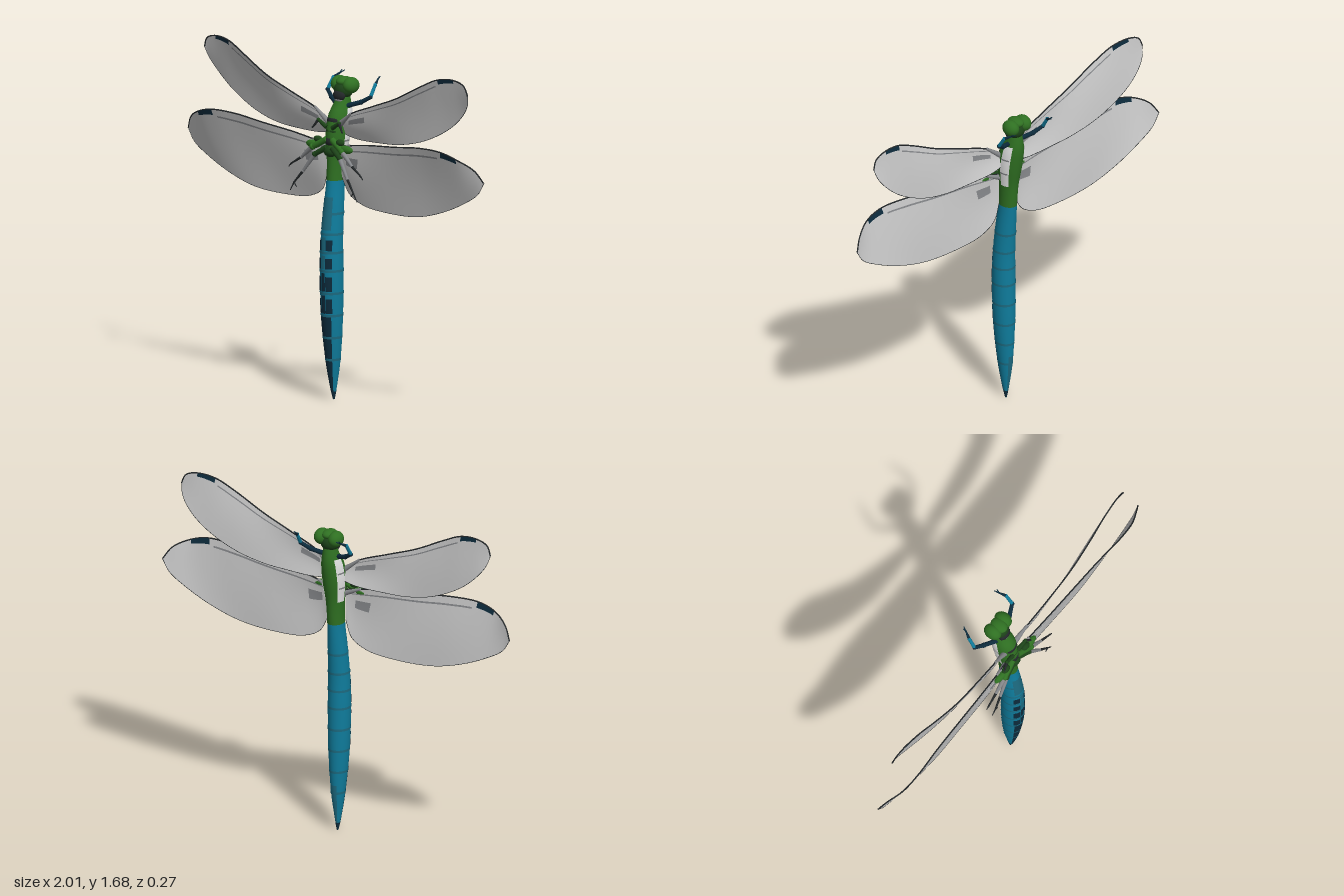
import * as THREE from 'three';
import { mergeVertices } from 'three/addons/utils/BufferGeometryUtils.js';

const material = (name, color, side = THREE.FrontSide) => {
  const m = new THREE.MeshStandardMaterial({ color, side });
  m.name = name;
  return m;
};
const V = (p) => new THREE.Vector3(...p);

// Grid of points turned into a smooth surface; at(u, v) gives [x, y, z]
function surface(nu, nv, at) {
  const pos = [], idx = [];
  for (let j = 0; j <= nv; j++) for (let i = 0; i <= nu; i++) pos.push(...at(i / nu, j / nv));
  for (let j = 0; j < nv; j++) for (let i = 0; i < nu; i++) {
    const a = j * (nu + 1) + i, b = a + nu + 1;
    idx.push(a, a + 1, b, a + 1, b + 1, b);
  }
  let g = new THREE.BufferGeometry();
  g.setAttribute('position', new THREE.Float32BufferAttribute(pos, 3));
  g.setIndex(idx);
  g = mergeVertices(g, 1e-5);
  g.computeVertexNormals();
  return g;
}

// Body sections: height, centre depth, half width, half depth
const BODY = [
  [0, 0.055, 0.003, 0.004], [0.06, 0.057, 0.014, 0.017], [0.2, 0.06, 0.033, 0.04],
  [0.42, 0.067, 0.05, 0.056], [0.64, 0.07, 0.055, 0.059], [0.8, 0.068, 0.052, 0.056],
  [0.95, 0.055, 0.046, 0.053], [1.08, 0.042, 0.04, 0.05], [1.2, 0.035, 0.044, 0.053],
  [1.3, 0.027, 0.055, 0.064], [1.4, 0.01, 0.052, 0.062], [1.45, -0.005, 0.04, 0.045],
  [1.5, -0.01, 0.03, 0.032]];

function section(y) {
  let k = 0;
  while (k < BODY.length - 2 && BODY[k + 1][0] < y) k++;
  const a = BODY[k], b = BODY[k + 1], t = (y - a[0]) / (b[0] - a[0]);
  const p = BODY[Math.max(k - 1, 0)], q = BODY[Math.min(k + 2, BODY.length - 1)];
  return [1, 2, 3].map((c) => {
    const h = b[0] - a[0];
    const m0 = (b[c] - p[c]) / (b[0] - p[0]) * h, m1 = (q[c] - a[c]) / (q[0] - a[0]) * h;
    const t2 = t * t, t3 = t2 * t;
    return (2 * t3 - 3 * t2 + 1) * a[c] + (t3 - 2 * t2 + t) * m0 + (3 * t2 - 2 * t3) * b[c] + (t3 - t2) * m1;
  });
}

// Piece of the body skin between two heights and two angles (0 is the belly, +z)
function skin(y0, y1, a0 = -Math.PI, a1 = Math.PI, raise = 0) {
  const nu = Math.max(4, Math.round((a1 - a0) * 5)), nv = Math.max(2, Math.round((y1 - y0) * 40));
  return surface(nu, nv, (u, v) => {
    const y = y0 + (y1 - y0) * v, a = a0 + (a1 - a0) * u;
    const [zc, rx, rz] = section(y);
    return [(rx + raise) * Math.sin(a), y, zc + (rz + raise) * Math.cos(a)];
  });
}

// Wing edges from root to tip, for the +x side
const FORE = {
  lead: [[.04, 1.37, .05], [.12, 1.42, .06], [.28, 1.48, .07], [.44, 1.54, .075], [.6, 1.62, .07],
    [.71, 1.668, .06], [.81, 1.676, .05], [.87, 1.655, .045], [.89, 1.61, .04]],
  trail: [[.04, 1.31, .03], [.12, 1.295, .03], [.28, 1.295, .03], [.42, 1.305, .025], [.58, 1.345, .015],
    [.74, 1.425, .008], [.83, 1.5, .012], [.875, 1.56, .025], [.89, 1.61, .04]] };
const HIND = {
  lead: [[.04, 1.25, .06], [.12, 1.265, .07], [.25, 1.285, .08], [.45, 1.305, .09], [.62, 1.325, .1],
    [.78, 1.326, .11], [.88, 1.3, .1], [.96, 1.255, .065], [1, 1.195, .04]],
  trail: [[.05, 1.1, .05], [.09, 1.02, .04], [.18, .975, .035], [.34, .96, .035], [.55, .97, .04],
    [.72, 1.015, .04], [.86, 1.075, .04], [.96, 1.135, .04], [1, 1.195, .04]] };

// Patch of a wing sheet, u along the span and v from leading to trailing edge
function sheet(wing, s, u0, u1, v0, v1, dz = 0) {
  const lead = new THREE.CatmullRomCurve3(wing.lead.map(V));
  const trail = new THREE.CatmullRomCurve3(wing.trail.map(V));
  return surface(48, v1 - v0 > 0.5 ? 10 : 3, (i, j) => {
    const u = u0 + (u1 - u0) * (s > 0 ? i : 1 - i), v = v1 + (v0 - v1) * j;
    const p = lead.getPoint(u).lerp(trail.getPoint(u), v);
    const billow = 0.012 * Math.sin(Math.PI * v) * (1 - u) * Math.sin(u * 9);
    return [s * p.x, p.y, p.z + billow + dz];
  });
}

export function createModel() {
  const model = new THREE.Group();
  const green = material('leaf green', 0x2f7022);
  const darkGreen = material('dark green', 0x1d4419);
  const teal = material('teal blue', 0x0f7c9c);
  const slate = material('slate teal', 0x1c6a80, THREE.DoubleSide);
  const navy = material('dark navy', 0x0d2b3c, THREE.DoubleSide);
  const white = material('white', 0xe6e6e6, THREE.DoubleSide);
  const pale = material('wing grey', 0xc6c6c6, THREE.DoubleSide);
  const grey = material('mid grey', 0x85878a, THREE.DoubleSide);
  const black = material('charcoal', 0x24282a);

  const add = (name, geo, mat, parent = model) => {
    const m = new THREE.Mesh(geo, mat);
    m.name = name;
    parent.add(m);
    return m;
  };
  const ball = (name, mat, p, r, parent) => {
    const m = add(name, new THREE.SphereGeometry(1, 24, 16), mat, parent);
    m.position.set(...p);
    m.scale.set(...r);
    return m;
  };
  // Jointed limb: tapered rods with a ball at each joint
  const limb = (name, pts, radii, mats, parent) => {
    const g = new THREE.Group();
    g.name = name;
    parent.add(g);
    for (let k = 0; k < pts.length - 1; k++) {
      const a = V(pts[k]), b = V(pts[k + 1]), d = b.clone().sub(a);
      const rod = add(name + 'Segment', new THREE.CylinderGeometry(radii[k + 1], radii[k], d.length(), 10), mats[k], g);
      rod.position.copy(a).lerp(b, 0.5);
      rod.quaternion.setFromUnitVectors(new THREE.Vector3(0, 1, 0), d.normalize());
      ball(name + 'Joint', mats[k], pts[k + 1], Array(3).fill(radii[k + 1] * 1.15), g);
    }
  };

  // Abdomen, thorax and their bands
  add('abdomen', skin(0, 1.08), teal);
  add('thorax', skin(1.08, 1.5), green);
  [0.2, 0.31, 0.42, 0.53, 0.64, 0.73, 0.82, 0.92].forEach((y) =>
    add('abdomenRing', skin(y - 0.006, y + 0.006, -Math.PI, Math.PI, 0.002), slate));
  add('tailTip', skin(0.001, 0.04, -Math.PI, Math.PI, 0.001), navy);
  add('tailBackPatch', skin(0.04, 0.24, 2.7, 3.6, 0.0012), slate);
  add('bellyPale', skin(0.84, 1.0, -0.7, 0.7, 0.0012), slate);
  add('bellyDark', skin(0.03, 0.42, -0.75, 0.75, 0.0015), navy);
  [0.43, 0.54, 0.65, 0.74].forEach((y, k) => {
    const h = k < 2 ? 0.09 : 0.065;
    add('bellyStripe', skin(y, y + h, -0.2, 0.2, 0.0015), k < 2 ? navy : slate);
    for (const s of [-1, 1]) {
      add('bellySpot', skin(y, y + h * 0.8, s * 0.55 - 0.3, s * 0.55 + 0.3, 0.0018), navy);
    }
  });

  // Underside of the thorax
  [1.22, 1.27, 1.32, 1.37].forEach((y, k) => {
    ball('breastPlate', k % 2 ? black : darkGreen, [0, y, 0.08 - k * 0.008], [0.038, 0.026, 0.025]);
  });

  // Head with eyes and face
  ball('headCore', darkGreen, [0, 1.515, -0.012], [0.05, 0.045, 0.045]);
  ball('brow', green, [0, 1.555, -0.015], [0.035, 0.024, 0.045]);
  ball('face', black, [0, 1.49, 0.018], [0.036, 0.03, 0.022]);
  ball('jaw', grey, [0, 1.468, 0.018], [0.026, 0.016, 0.018]);

  for (const s of [-1, 1]) {
    const side = new THREE.Group();
    side.name = s > 0 ? 'leftSide' : 'rightSide';
    model.add(side);
    const mir = (pts) => pts.map(([x, y, z]) => [s * x, y, z]);

    ball('eye', green, [s * 0.04, 1.538, -0.022], [0.036, 0.04, 0.046], side);

    // White and grey flank panels
    add('flankPanel', skin(1.2, 1.43, s * 1.85 - 0.4, s * 1.85 + 0.4, 0.002), white, side);
    [1.27, 1.35].forEach((y) => add('flankSeam', skin(y, y + 0.008, s * 1.8 - 0.35, s * 1.8 + 0.35, 0.003), grey, side));

    // Wings with dark edge, vein and tip mark
    for (const [name, wing] of [['foreWing', FORE], ['hindWing', HIND]]) {
      add(name, sheet(wing, s, 0, 1, 0, 1), pale, side);
      const edge = (pts) => new THREE.CatmullRomCurve3(mir(pts).map(V));
      add(name + 'LeadingEdge', new THREE.TubeGeometry(edge(wing.lead), 60, 0.0035, 6), black, side);
      add(name + 'TrailingEdge', new THREE.TubeGeometry(edge(wing.trail), 60, 0.0014, 5), black, side);
      for (const dz of [-0.003, 0.003]) {
        add(name + 'TipMark', sheet(wing, s, 0.62, 0.74, 0, 0.09, dz), navy, side);
        add(name + 'Vein', sheet(wing, s, 0.05, 0.6, 0.1, 0.125, dz * 0.6), grey, side);
        add(name + 'RootPatch', sheet(wing, s, 0.1, 0.2, 0.25, 0.42, dz * 0.6), grey, side);
      }
      const root = wing.lead[0];
      limb(name + 'Root', mir([[0.03, root[1] - 0.02, root[2]], wing.lead[1]]), [0.016, 0.006], [grey], side);
    }

    // Raised front legs beside the head
    limb('frontLeg', mir([[.035, 1.44, 0], [.1, 1.462, -.03], [.145, 1.49, -.05], [.142, 1.545, -.085], [.127, 1.565, -.118]]),
      [0.012, 0.011, 0.009, 0.008, 0.004], [navy, navy, teal, navy], side);
    [[.118, 1.575, -.138], [.13, 1.578, -.132]].forEach((tip) =>
      limb('frontClaw', mir([[.127, 1.565, -.118], tip]), [0.004, 0.002], [navy], side));

    // Folded legs below the thorax
    limb('upperLeg', mir([[.02, 1.34, .085], [.07, 1.37, .09], [.1, 1.33, .1]]), [.012, .008, .004], [darkGreen, black], side);
    limb('middleLeg', mir([[.02, 1.28, .085], [.1, 1.235, .1], [.17, 1.175, .105], [.235, 1.135, .11], [.25, 1.12, .11]]),
      [.016, .014, .007, .004, .002], [green, grey, black, black], side);
    limb('hindLeg', mir([[.02, 1.24, .085], [.085, 1.2, .1], [.15, 1.11, .115], [.2, 1.05, .125], [.225, 1.01, .125]]),
      [.015, .012, .007, .004, .002], [darkGreen, grey, black, black], side);
    limb('hindClaw', mir([[.2, 1.05, .125], [.185, 1.03, .125]]), [.004, .002], [black], side);
    ball('haunch', green, [s * 0.11, 1.245, 0.085], [0.045, 0.02, 0.018], side);
    ball('haunchTip', darkGreen, [s * 0.075, 1.275, 0.088], [0.025, 0.016, 0.016], side);
  }
  return model;
}
